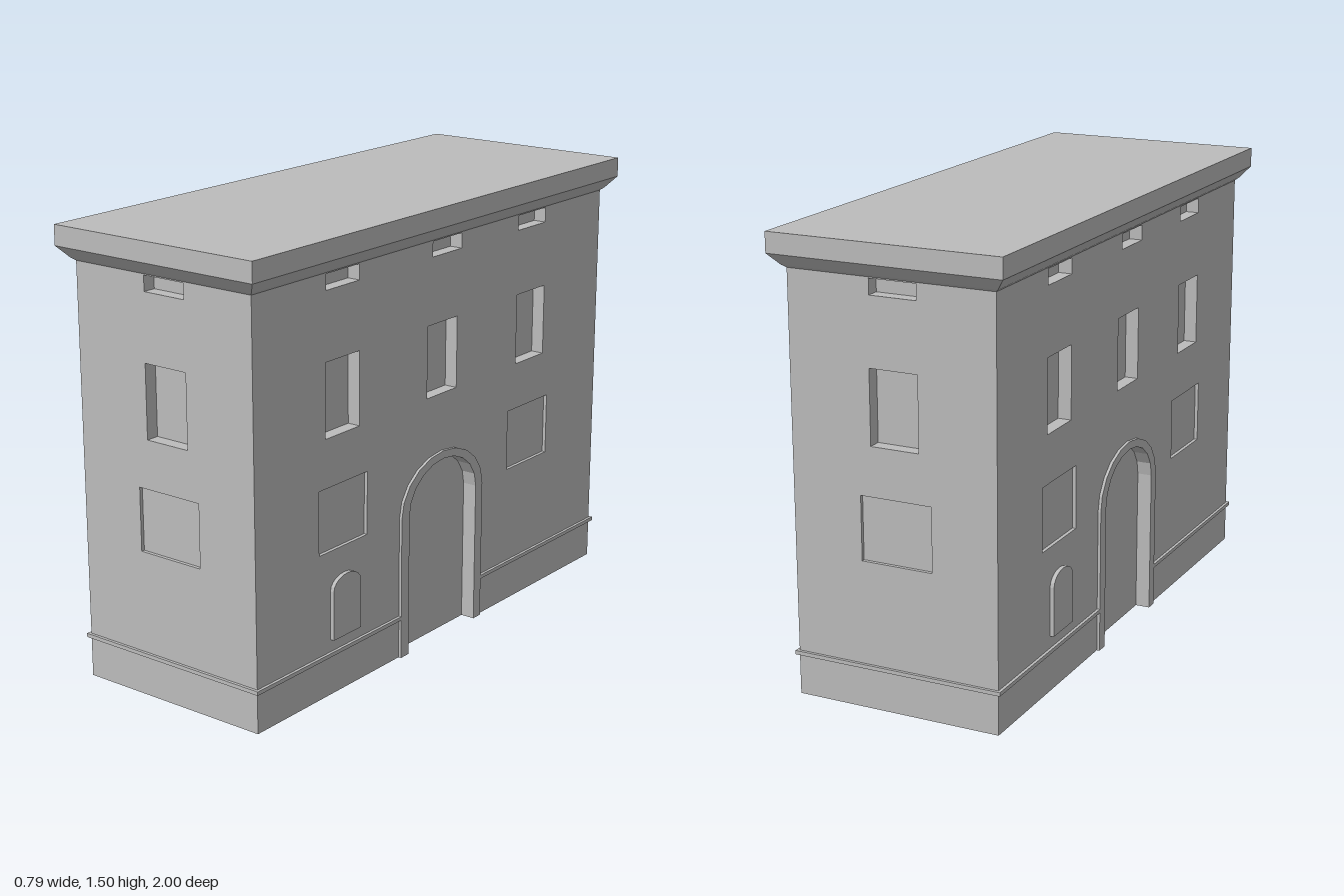
import * as THREE from 'three';

const stone = new THREE.MeshStandardMaterial({ color: 0xbcbcbc, side: THREE.DoubleSide });
stone.name = 'grey stone';

const HX = 0.353, HZ = 0.955, WALL_TOP = 1.39;

function add(parent, geometry, name) {
  const mesh = new THREE.Mesh(geometry, stone);
  mesh.name = name;
  parent.add(mesh);
  return mesh;
}

// Flat-shaded surface from a list of four-cornered faces
function quads(faces) {
  const pos = [];
  for (const [a, b, c, d] of faces) pos.push(...a, ...b, ...c, ...a, ...c, ...d);
  const g = new THREE.BufferGeometry();
  g.setAttribute('position', new THREE.Float32BufferAttribute(pos, 3));
  g.computeVertexNormals();
  return g;
}

// Counter-clockwise outlines
const rect = (x0, x1, y0, y1) =>
  [[x0, y0], [x1, y0], [x1, y1], [x0, y1]].map(p => new THREE.Vector2(...p));

function arch(x0, x1, y0, spring, top, steps) {
  const pts = [new THREE.Vector2(x0, y0), new THREE.Vector2(x1, y0)];
  const cx = (x0 + x1) / 2, r = (x1 - x0) / 2;
  for (let i = 0; i <= steps; i++) {
    const a = Math.PI * i / steps;
    pts.push(new THREE.Vector2(cx + r * Math.cos(a), spring + (top - spring) * Math.sin(a)));
  }
  return pts;
}

// Reveal and back panel of a sunken opening; the first edge may be left open
function addRecess(parent, pts, depth, name, openBottom = false) {
  const faces = [];
  pts.forEach((p, i) => {
    if (openBottom && i === 0) return;
    const q = pts[(i + 1) % pts.length];
    faces.push([[p.x, p.y, 0], [q.x, q.y, 0], [q.x, q.y, -depth], [p.x, p.y, -depth]]);
  });
  add(parent, quads(faces), name + 'Reveal');
  add(parent, new THREE.ShapeGeometry(new THREE.Shape(pts)), name + 'Panel').position.z = -depth;
}

// A wall in its own plane, facing +z, with sunken windows and an optional doorway
function makeWall(half, windows, door, name) {
  const wall = new THREE.Group();
  wall.name = name;
  let outline = rect(-half, half, 0, WALL_TOP);
  if (door) {
    const notch = [door[0], ...door.slice(2).reverse(), door[1]];
    outline = [outline[0], ...notch, ...outline.slice(1)];
  }
  const shape = new THREE.Shape(outline);
  for (const w of windows) {
    const pts = rect(...w.box);
    shape.holes.push(new THREE.Path(pts));
    addRecess(wall, pts, w.depth, w.name);
  }
  add(wall, new THREE.ShapeGeometry(shape), 'wallFace');
  return wall;
}

const attic = (a, b) => ({ name: 'atticWindow', box: [a, b, 1.335, 1.386], depth: 0.045 });
const upper = (a, b) => ({ name: 'upperWindow', box: [a, b, 0.865, 1.11], depth: 0.045 });
const middle = (a, b) => ({ name: 'middleWindow', box: [a, b, 0.49, 0.703], depth: 0.012 });

function addTrim(parent, x0, x1) {
  add(parent, new THREE.BoxGeometry(x1 - x0, 0.013, 0.016), 'baseTrim')
    .position.set((x0 + x1) / 2, 0.142, 0.002);
}

function makeLongWall() {
  const door = arch(-0.19, 0.19, 0, 0.49, 0.64, 10);
  const wall = makeWall(HZ, [
    attic(-0.61, -0.445), attic(-0.06, 0.1), attic(0.435, 0.6),
    upper(-0.615, -0.445), upper(-0.085, 0.08), upper(0.435, 0.605),
    middle(-0.65, -0.405), middle(0.393, 0.64),
  ], door, 'longWall');
  addRecess(wall, door, 0.04, 'door', true);

  // Raised arched surround of the doorway
  const outer = arch(-0.232, 0.23, 0, 0.49, 0.667, 10);
  const frame = new THREE.Shape([
    outer[1], ...outer.slice(2), outer[0], door[0], ...door.slice(2).reverse(), door[1]]);
  add(wall, new THREE.ExtrudeGeometry(frame, { depth: 0.01, bevelEnabled: false }), 'doorSurround');

  // Small raised arched panel beside the door
  const hatch = new THREE.Shape(arch(-0.595, -0.455, 0.19, 0.355, 0.4, 10));
  add(wall, new THREE.ExtrudeGeometry(hatch, { depth: 0.014, bevelEnabled: false }), 'archedHatch');

  addTrim(wall, -HZ - 0.01, -0.232);
  addTrim(wall, 0.23, HZ + 0.01);
  return wall;
}

function makeEndWall() {
  const wall = makeWall(HX, [attic(-0.07, 0.09), upper(-0.075, 0.09), middle(-0.115, 0.13)], null, 'endWall');
  addTrim(wall, -HX - 0.01, HX + 0.01);
  return wall;
}

// Flared cornice and flat roof from stacked rectangles
function makeRoof() {
  const rings = [[HX, HZ, 1.39], [0.365, 0.968, 1.40], [0.397, 1, 1.438], [0.397, 1, 1.505]]
    .map(([x, z, y]) => [[-x, y, z], [x, y, z], [x, y, -z], [-x, y, -z]]);
  const faces = [rings[3]];
  for (let r = 0; r < 3; r++)
    for (let i = 0; i < 4; i++) {
      const j = (i + 1) % 4;
      faces.push([rings[r][i], rings[r][j], rings[r + 1][j], rings[r + 1][i]]);
    }
  return quads(faces);
}

export function createModel() {
  const model = new THREE.Group();
  model.name = 'building';
  // The two halves repeat by a half turn
  for (let side = 0; side < 2; side++) {
    const half = new THREE.Group();
    half.name = side ? 'backHalf' : 'frontHalf';
    half.rotation.y = side * Math.PI;
    const end = makeEndWall();
    end.position.z = HZ;
    const long = makeLongWall();
    long.rotation.y = Math.PI / 2;
    long.position.x = HX;
    half.add(end, long);
    model.add(half);
  }
  add(model, makeRoof(), 'roofAndCornice');
  return model;
}
